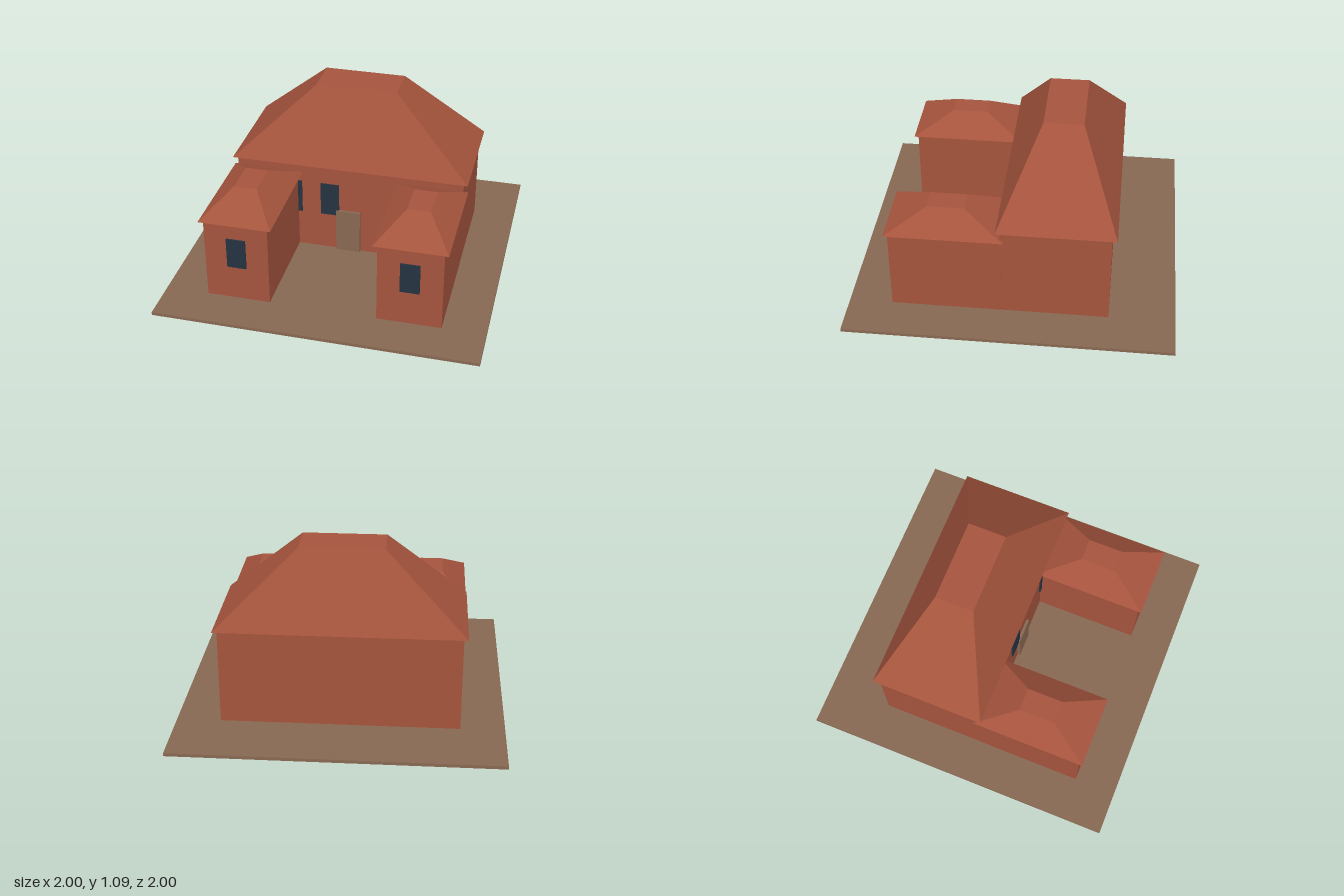
import * as THREE from 'three';

const mat = (name, color) => new THREE.MeshStandardMaterial({ name, color });

export function createModel() {
  const brick = mat('brick', 0xa5543d);
  const earth = mat('earth', 0x876852);
  const glass = mat('glass', 0x263342);
  const house = new THREE.Group();
  house.name = 'house';

  // Box given by its limits on each axis
  function block(name, material, [x0, x1], [y0, y1], [z0, z1], parent = house) {
    const geometry = new THREE.BoxGeometry(x1 - x0, y1 - y0, z1 - z0);
    const mesh = new THREE.Mesh(geometry, material);
    mesh.name = name;
    mesh.position.set((x0 + x1) / 2, (y0 + y1) / 2, (z0 + z1) / 2);
    parent.add(mesh);
    return mesh;
  }

  // Hipped roof with a flat top: a box whose upper corners are drawn inward
  function hipRoof(name, xs, ys, zs, topWidth, topDepth, parent) {
    const mesh = block(name, brick, xs, ys, zs, parent);
    const p = mesh.geometry.attributes.position;
    for (let i = 0; i < p.count; i++) {
      if (p.getY(i) > 0) {
        p.setX(i, Math.sign(p.getX(i)) * topWidth / 2);
        p.setZ(i, Math.sign(p.getZ(i)) * topDepth / 2);
      }
    }
    mesh.geometry.computeVertexNormals();
  }

  block('ground', earth, [-1, 1], [0, 0.02], [-1, 1]);

  // Main house
  block('mainWalls', brick, [-0.73, 0.73], [0.02, 0.625], [-0.595, 0.067]);
  hipRoof('mainRoof', [-0.757, 0.757], [0.625, 1.09], [-0.625, 0.09], 0.514, 0.243);
  block('door', earth, [-0.08, 0.077], [0.02, 0.315], [0.06, 0.085]);
  for (const x of [-0.367, -0.123, 0.363]) {
    block('mainWindow', glass, [x - 0.06, x + 0.06], [0.275, 0.5], [0.067, 0.076]);
  }

  // Two front wings
  for (const side of [-1, 1]) {
    const wing = new THREE.Group();
    wing.name = side < 0 ? 'rightWing' : 'leftWing';
    wing.position.x = side * 0.532;
    house.add(wing);
    block('wingWalls', brick, [-0.199, 0.199], [0.02, 0.555], [0.06, 0.735], wing);
    hipRoof('wingRoof', [-0.225, 0.225], [0.555, 0.682], [0.043, 0.757], 0.142, 0.225, wing);
    block('wingWindow', glass, [-0.06, 0.06], [0.25, 0.45], [0.735, 0.744], wing);
  }
  return house;
}
